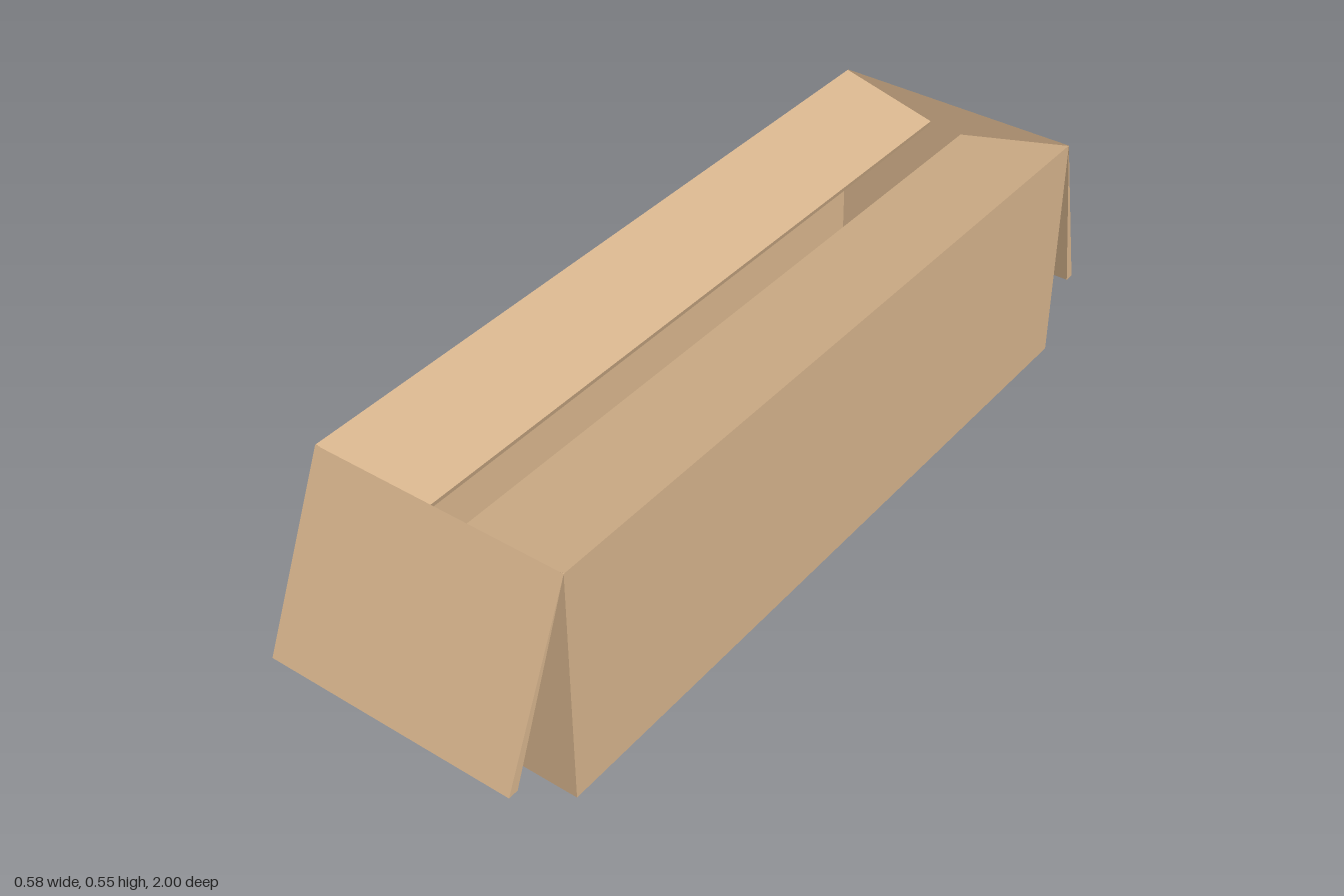
import * as THREE from 'three';

const X = 0.29, H = 0.55, FRONT = 0.825, BACK = -0.905;

const cardboard = new THREE.MeshStandardMaterial({ color: 0xd9b68e });
cardboard.name = 'cardboard';

// Prism with an x-y profile, running from z0 to z1
function prism(points, z0, z1) {
  const shape = new THREE.Shape(points.map(([x, y]) => new THREE.Vector2(x, y)));
  return new THREE.ExtrudeGeometry(shape, { depth: z1 - z0, bevelEnabled: false }).translate(0, 0, z0);
}

// Prism with a z-y profile, running across the full width of the box
function crossPrism(points) {
  return prism(points, -X, X).rotateY(-Math.PI / 2);
}

export function createModel() {
  const group = new THREE.Group();
  group.name = 'openCardboardBox';
  const add = (name, geometry) => {
    const mesh = new THREE.Mesh(geometry, cardboard);
    mesh.name = name;
    group.add(mesh);
  };

  // Floor
  add('floor', new THREE.BoxGeometry(2 * X, 0.015, FRONT - BACK).translate(0, 0.0075, (FRONT + BACK) / 2));

  // Walls, thinning to a crease at the rim
  const t = 0.015;
  for (const [side, s] of [['left', 1], ['right', -1]]) {
    add(side + 'Wall', prism([[s * X, 0], [s * X, H], [s * (X - t), 0]], BACK, FRONT));
  }
  add('frontWall', crossPrism([[FRONT, 0], [FRONT, H], [FRONT - t, 0]]));
  add('backWall', crossPrism([[BACK, 0], [BACK, H], [BACK + t, 0]]));

  // Long flaps, folded in and sagging slightly toward the middle
  add('rightFlap', prism([[-X, H], [-0.06, 0.492], [-0.063, 0.48]], BACK + 0.002, FRONT - 0.002));
  add('leftFlap', prism([[X, H], [0.02, 0.485], [0.023, 0.473]], BACK + 0.002, FRONT - 0.002));

  // End flaps, hanging outward and thicker at the free edge
  add('frontFlap', crossPrism([[FRONT, H], [1.0, 0.155], [0.977, 0.155]]));
  add('backFlap', crossPrism([[BACK, H], [-1.0, 0.155], [-0.977, 0.155]]));

  return group;
}
